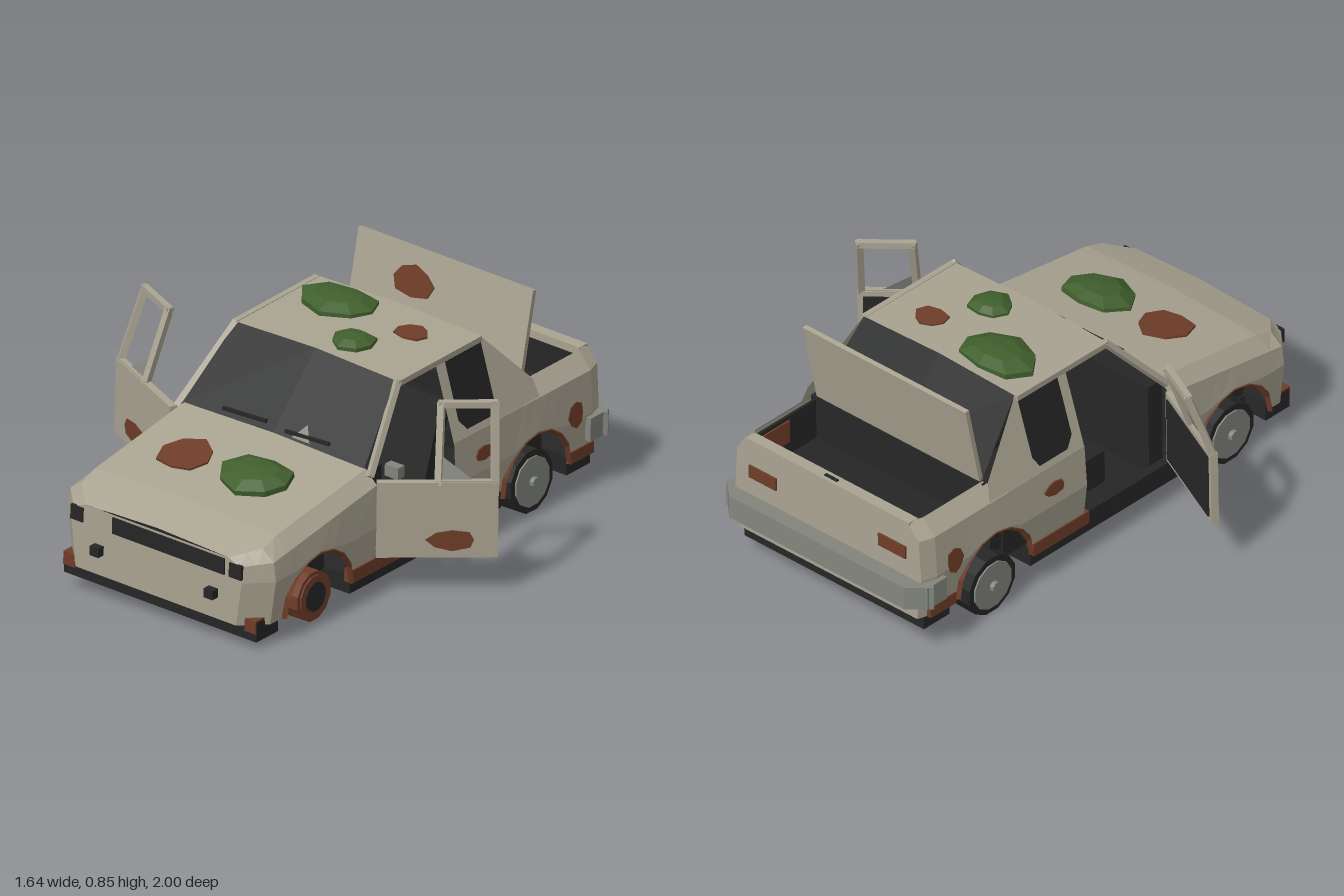
import * as THREE from 'three';

const mat = (name, color) => {
  const m = new THREE.MeshStandardMaterial({ color, flatShading: true, side: THREE.DoubleSide });
  m.name = name;
  return m;
};

export function createModel() {
  const paint = mat('faded paint', 0xa9a391), black = mat('black trim', 0x262626), glass = mat('dark glass', 0x222323),
    rust = mat('rust', 0x6f3d29), moss = mat('moss', 0x405f2d), grey = mat('worn metal', 0x83857d);
  const model = new THREE.Group();
  const car = new THREE.Group();
  car.name = 'carBody';
  car.position.x = 0.025;
  car.rotation.set(0.02, 0, -0.035); // sagging stance
  model.add(car);

  const add = (parent, name, geo, m, x = 0, y = 0, z = 0) => {
    const mesh = new THREE.Mesh(geo, m);
    mesh.name = name;
    mesh.position.set(x, y, z);
    parent.add(mesh);
    return mesh;
  };
  const box = (p, name, m, w, h, d, x, y, z) => add(p, name, new THREE.BoxGeometry(w, h, d), m, x, y, z);
  const bar = (p, name, m, a, b, t, t2 = t) => {
    const A = new THREE.Vector3(...a), B = new THREE.Vector3(...b), d = B.clone().sub(A);
    const mesh = box(p, name, m, t, t2, d.length() + t * 0.8, 0, 0, 0);
    mesh.position.copy(A).add(B).multiplyScalar(0.5);
    mesh.quaternion.setFromUnitVectors(new THREE.Vector3(0, 0, 1), d.normalize());
    return mesh;
  };
  // Surface through rows of points
  const skin = (p, name, m, rows) => {
    const v = [];
    for (let i = 0; i + 1 < rows.length; i++) for (let j = 0; j + 1 < rows[i].length; j++) {
      const a = rows[i][j], b = rows[i][j + 1], c = rows[i + 1][j + 1], d = rows[i + 1][j];
      v.push(...a, ...b, ...c, ...a, ...c, ...d);
    }
    const g = new THREE.BufferGeometry();
    g.setAttribute('position', new THREE.Float32BufferAttribute(v, 3));
    g.computeVertexNormals();
    return add(p, name, g, m);
  };
  // Irregular flat patch or mossy dome, r1 along local x and r2 along local z
  const blob = (p, name, m, r1, r2, h, x, y, z, seed = 1) => {
    const g = h > 0.02 ? new THREE.SphereGeometry(1, 8, 5) : new THREE.CylinderGeometry(1, 1, 1, 8);
    const a = g.attributes.position;
    for (let i = 0; i < a.count; i++) {
      const px = a.getX(i), pz = a.getZ(i);
      const k = Math.hypot(px, pz) < 1e-4 ? 1 : 1 + 0.16 * Math.sin(2 * Math.atan2(pz, px) + seed) * Math.cos(3 * Math.atan2(pz, px) + seed * 2);
      a.setXYZ(i, px * k * r1, a.getY(i) * h, pz * k * r2);
    }
    return add(p, name, g, m, x, y, z);
  };

  // Body sections, with wheel arches cut into the lower edge
  const arches = [{ z: 0.63, y: 0.12 }, { z: -0.58, y: 0.13 }], R = 0.19;
  const bottom = z => arches.reduce((b, c) => Math.abs(z - c.z) < R ? Math.max(b, c.y + Math.sqrt(R * R - (z - c.z) ** 2)) : b, 0.115);
  const archZ = c => [0, 1, 2, 3, 4, 5, 6, 7, 8].map(k => c.z + R * Math.cos(Math.PI * k / 8));
  const lerp = THREE.MathUtils.lerp, clamp = THREE.MathUtils.clamp;
  const hoodY = z => z > 0.8 ? lerp(0.435, 0.38, (z - 0.8) / 0.165) : lerp(0.505, 0.435, (z - 0.31) / 0.49);
  const half = z => {
    const w = 0.465 - 0.085 * clamp((z - 0.88) / 0.085, 0, 1) - 0.02 * clamp((-z - 0.88) / 0.06, 0, 1);
    const b = bottom(z), f = Math.max(0.285, b + 0.005);
    const waist = z > 0.3 ? lerp(0.445, 0.345, (z - 0.31) / 0.655) : 0.445;
    const p = [[w - 0.022 * clamp((0.285 - b) / 0.17, 0, 1), b, z], [w, f, z], [w - 0.01, waist, z]];
    if (z > 0.3) p.push([w - 0.06, hoodY(z) - 0.012, z]);
    else p.push(z > -0.57 ? [w - 0.011, waist + 0.002, z] : [w - 0.065, 0.505, z]);
    return p;
  };
  const flip = p => [-p[0], p[1], p[2]];
  const full = z => { const h = half(z); return [...h, [0, h[3][1] + 0.012, z], ...h.map(flip).reverse()]; };
  const cap = z => half(z).map(p => [p, flip(p)]);

  skin(car, 'frontBody', paint, [0.965, 0.92, 0.88, ...archZ(arches[0]), 0.31].map(full));
  skin(car, 'nose', paint, cap(0.965));
  const rearZ = [-0.12, -0.25, ...archZ(arches[1]), -0.88, -0.94];
  for (const s of [1, -1]) skin(car, 'rearQuarter', paint, rearZ.map(z => half(z).map(p => [s * p[0], p[1], p[2]])));
  skin(car, 'tailPanel', paint, cap(-0.94));
  box(car, 'tailRim', paint, 0.78, 0.03, 0.045, 0, 0.49, -0.918);
  box(car, 'trunkLatch', black, 0.06, 0.008, 0.012, 0, 0.506, -0.92);

  // Underside, wheel wells and trunk lining
  box(car, 'floor', black, 0.66, 0.055, 1.8, 0, 0.095, 0);
  box(car, 'sillPan', black, 0.88, 0.07, 0.82, 0, 0.1, 0.025);
  box(car, 'frontValance', black, 0.86, 0.075, 0.12, 0, 0.1, 0.88);
  box(car, 'rearValance', black, 0.86, 0.075, 0.13, 0, 0.1, -0.85);
  for (const c of arches) box(car, 'wheelWell', black, 0.64, 0.22, 0.4, 0, 0.21, c.z);
  box(car, 'trunkFloor', black, 0.84, 0.02, 0.36, 0, 0.32, -0.75);
  box(car, 'trunkFront', black, 0.82, 0.2, 0.02, 0, 0.4, -0.58);
  box(car, 'trunkBack', black, 0.8, 0.17, 0.01, 0, 0.39, -0.925);
  box(car, 'trunkRust', rust, 0.2, 0.09, 0.008, -0.24, 0.42, -0.918);
  for (const s of [1, -1]) box(car, 'trunkSide', black, 0.01, 0.17, 0.34, s * 0.392, 0.405, -0.75);
  box(car, 'trunkSideRust', rust, 0.008, 0.09, 0.14, 0.384, 0.43, -0.8);

  // Cabin interior
  box(car, 'dashboard', black, 0.84, 0.37, 0.07, 0, 0.305, 0.275);
  box(car, 'rearSeat', black, 0.82, 0.12, 0.3, 0, 0.2, -0.34);
  box(car, 'rearSeatBack', black, 0.8, 0.3, 0.09, 0, 0.33, -0.5);
  for (const s of [1, -1]) {
    box(car, 'frontSeat', black, 0.3, 0.13, 0.2, s * 0.21, 0.215, -0.02);
    bar(car, 'frontSeatBack', black, [s * 0.21, 0.25, -0.1], [s * 0.21, 0.45, -0.16], 0.3, 0.06);
  }
  blob(car, 'floorMoss', moss, 0.1, 0.08, 0.03, 0.25, 0.14, 0.15, 2);

  // Cabin shell: windscreen, roof and rear window share one profile
  const edge = (z, y, w, c) => [[-w, y, z], [0, y + c, z], [w, y, z]];
  const e = [edge(0.32, 0.497, 0.405, 0.01), edge(0.09, 0.738, 0.355, 0.012), edge(-0.37, 0.742, 0.36, 0.012), edge(-0.575, 0.505, 0.395, 0)];
  skin(car, 'windscreen', glass, [e[0], e[1]]);
  skin(car, 'roof', paint, [e[1], e[2]]);
  skin(car, 'rearWindow', glass, [e[2], e[3]]);
  for (const s of [1, -1]) {
    const pt = (z, y, o = 0) => [s * (0.455 - (y - 0.44) * 0.31 + o), y, z];
    bar(car, 'windscreenPillar', paint, [s * 0.43, 0.48, 0.315], [s * 0.363, 0.73, 0.09], 0.022);
    bar(car, 'roofRail', paint, [s * 0.363, 0.73, 0.085], [s * 0.363, 0.733, -0.36], 0.022);
    skin(car, 'cabinSide', paint, [[pt(-0.12, 0.44), pt(-0.37, 0.44), pt(-0.6, 0.44)], [pt(-0.12, 0.742), pt(-0.37, 0.742), pt(-0.585, 0.515)]]);
    skin(car, 'sideWindow', glass, [[pt(-0.2, 0.47, 0.004), pt(-0.34, 0.47, 0.004)], [pt(-0.165, 0.51, 0.004), pt(-0.365, 0.51, 0.004)], [pt(-0.165, 0.732, 0.004), pt(-0.365, 0.732, 0.004)]]);
    bar(car, 'wiper', black, [s * 0.14 - 0.09, 0.525, 0.31], [s * 0.14 + 0.09, 0.53, 0.302], 0.012);
    // Arch lips
    for (const c of arches) {
      const lip = add(car, 'archLip', new THREE.TorusGeometry(R - 0.004, 0.012, 4, 8, Math.PI), rust, s * 0.455, c.y, c.z);
      lip.rotation.y = Math.PI / 2;
    }
    // Headlights, fog lamps and tail lamps
    box(car, 'headlight', black, 0.055, 0.055, 0.012, s * 0.365 * 0.97, 0.325, 0.965);
    box(car, 'fogLamp', black, 0.04, 0.035, 0.04, s * 0.255, 0.215, 0.975);
    box(car, 'tailLamp', rust, 0.13, 0.05, 0.009, s * 0.31, 0.375, -0.943);
    box(car, 'bumperCorner', grey, 0.025, 0.09, 0.1, s * 0.47, 0.23, -0.9);
  }
  box(car, 'grille', black, 0.5, 0.062, 0.01, 0.055, 0.328, 0.966);
  skin(car, 'glassShard', grey, [[[0.08, 0.515, 0.32], [0.16, 0.515, 0.32]], [[0.12, 0.56, 0.28], [0.12, 0.56, 0.28]]]);
  box(car, 'sideMirror', grey, 0.06, 0.045, 0.035, 0.485, 0.49, 0.25);

  // Rear bumper, chamfered in plan
  const plan = new THREE.Shape([[-0.46, 0.9], [-0.495, 0.93], [-0.42, 1], [0.42, 1], [0.495, 0.93], [0.46, 0.9]].map(p => new THREE.Vector2(...p)));
  const bumper = add(car, 'rearBumper', new THREE.ExtrudeGeometry(plan, { depth: 0.09, bevelEnabled: false }), grey, 0, 0.185, 0);
  bumper.rotation.x = -Math.PI / 2;

  // Open trunk lid
  bar(car, 'trunkLid', paint, [0, 0.505, -0.575], [0, 0.815, -0.638], 0.78, 0.018).scale.z = 0.335 / 0.94;
  const lidRust = blob(car, 'lidRust', rust, 0.09, 0.06, 0.006, -0.12, 0.71, -0.604, 3);
  lidRust.rotation.x = Math.PI / 2 - 0.2;

  // Open front doors
  for (const [s, turn] of [[1, -0.853], [-1, 1.136]]) {
    const door = new THREE.Group();
    door.name = s > 0 ? 'leftDoor' : 'rightDoor';
    door.position.set(s * 0.455, 0, 0.31);
    door.rotation.y = turn;
    car.add(door);
    box(door, 'doorPanel', paint, 0.028, 0.29, 0.425, 0, 0.315, -0.2125);
    box(door, 'doorLining', black, 0.008, 0.25, 0.385, -s * 0.016, 0.315, -0.2125);
    const top = -s * 0.09, f = [[0, 0.455, -0.215], [top, 0.715, -0.225], [top, 0.715, -0.412], [0, 0.455, -0.412]];
    for (let i = 0; i < 3; i++) bar(door, 'windowFrame', paint, f[i], f[i + 1], 0.024);
    bar(door, 'windowSill', paint, f[0], f[3], 0.02);
    skin(door, 'brokenGlass', grey, [[[0, 0.46, -0.22], [0, 0.46, -0.34]], [[-s * 0.03, 0.545, -0.225], [-s * 0.03, 0.545, -0.225]]]);
    const r = blob(door, 'doorRust', rust, 0.04, 0.085, 0.006, s * 0.015, 0.24, -0.265, 2);
    r.rotation.z = Math.PI / 2;
  }

  // Rusted sills and panel patches
  box(car, 'leftSill', rust, 0.035, 0.05, 0.62, 0.437, 0.135, 0.13);
  box(car, 'leftSillRear', black, 0.035, 0.06, 0.21, 0.437, 0.125, -0.285);
  box(car, 'rightSill', black, 0.035, 0.05, 0.54, -0.437, 0.135, 0.17);
  box(car, 'rightSillRear', rust, 0.035, 0.05, 0.28, -0.437, 0.135, -0.24);
  for (const s of [1, -1]) {
    box(car, 'rearSkirtRust', rust, 0.02, 0.045, 0.13, s * 0.445, 0.138, -0.84);
    box(car, 'valanceRust', rust, 0.05, 0.05, 0.06, s * 0.405, 0.12, 0.915);
    for (const [z, y, a, b, q] of [[-0.28, 0.355, 0.027, 0.05, 1], [-0.79, 0.305, 0.05, 0.04, 4]]) {
      blob(car, 'sideRust', rust, a, b, 0.008, s * 0.463, y, z, q).rotation.z = Math.PI / 2 + s * 0.06;
    }
  }
  blob(car, 'hoodRust', rust, 0.1, 0.1, 0.008, -0.17, 0.467, 0.59, 1).rotation.x = 0.142;
  blob(car, 'hoodMoss', moss, 0.15, 0.12, 0.045, 0.13, 0.468, 0.57, 2).rotation.x = 0.14;
  blob(car, 'roofRust', rust, 0.065, 0.055, 0.008, 0.18, 0.75, -0.225, 3);
  blob(car, 'roofMoss', moss, 0.165, 0.115, 0.045, -0.155, 0.75, -0.24, 2);
  blob(car, 'roofMossSmall', moss, 0.085, 0.08, 0.035, 0.065, 0.75, -0.035, 4);

  // Wheels: three on tyres with hubcaps, one bare rusted rim
  const wheel = (name, s, z, bare) => {
    const g = new THREE.Group();
    g.name = name;
    g.position.set(s > 0 ? 0.415 : -0.365, bare ? 0.1 : 0.115, z);
    g.rotation.z = -s * Math.PI / 2;
    model.add(g);
    const disc = (n, m, r, h, y, sides = 12) => add(g, n, new THREE.CylinderGeometry(r, r, h, sides).rotateY(Math.PI / sides), m, 0, y, 0);
    if (bare) {
      disc('rim', rust, 0.094, 0.1, 0);
      disc('rimLip', rust, 0.08, 0.012, 0.05);
      disc('rimCentre', black, 0.055, 0.01, 0.054);
    } else {
      disc('tyre', black, 0.119, 0.1, 0);
      disc('hubcap', grey, 0.095, 0.012, 0.05);
      disc('hubNut', grey, 0.02, 0.03, 0.058, 8);
    }
  };
  wheel('frontLeftWheel', 1, 0.63, true);
  wheel('frontRightWheel', -1, 0.63, false);
  wheel('rearLeftWheel', 1, -0.58, false);
  wheel('rearRightWheel', -1, -0.58, false);
  return model;
}
